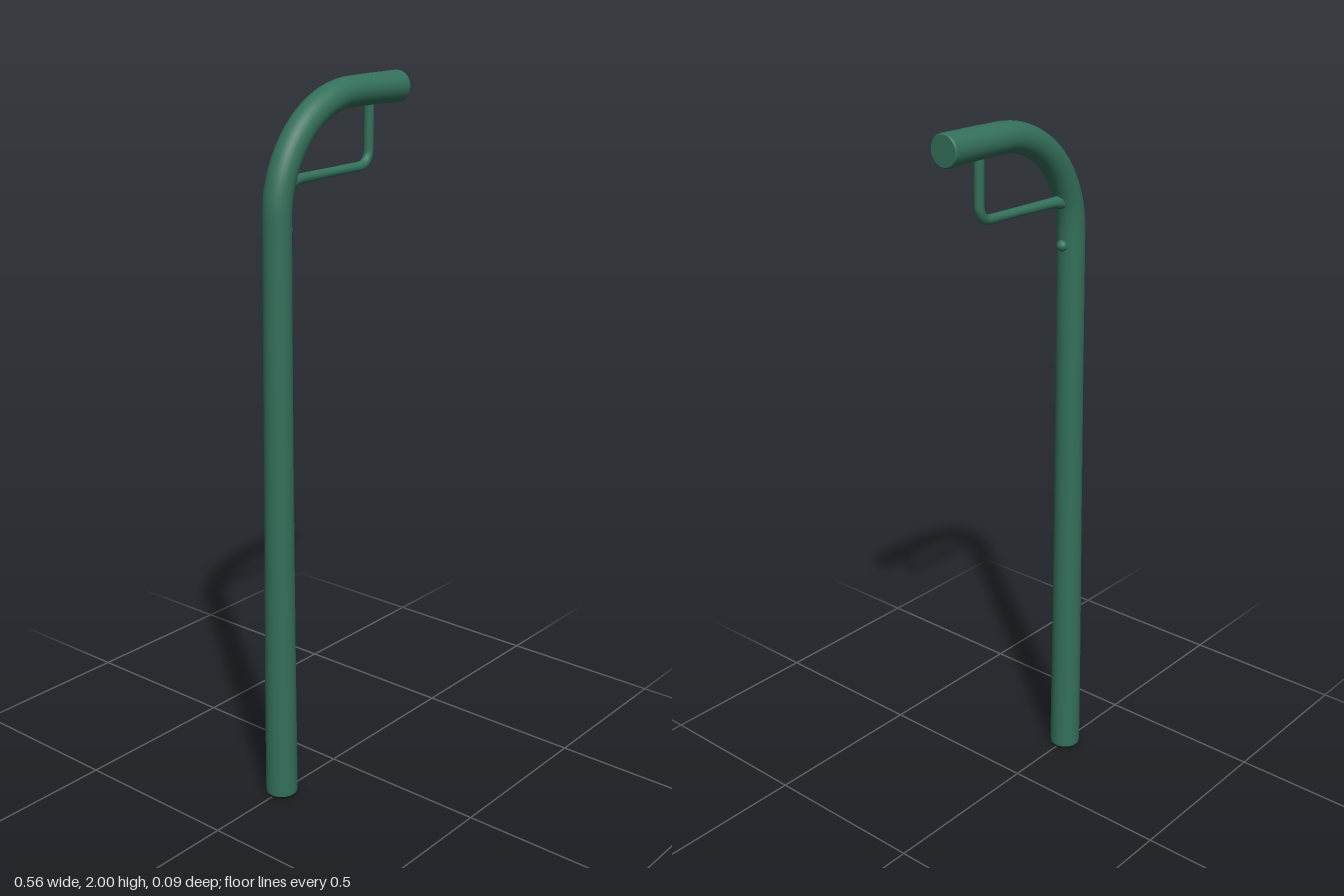
import * as THREE from 'three';

// Sweep round rings along stations [x, y, heading, radius] in the XY plane
function sweep(stations, sides) {
  const pos = [], index = [];
  stations.forEach(([x, y, a, r], i) => {
    for (let j = 0; j < sides; j++) {
      const t = (j / sides) * Math.PI * 2;
      pos.push(x - Math.sin(a) * r * Math.cos(t), y + Math.cos(a) * r * Math.cos(t), r * Math.sin(t));
      if (i === stations.length - 1) continue;
      const k = i * sides + j, l = i * sides + (j + 1) % sides;
      index.push(k, l, l + sides, k, l + sides, k + sides);
    }
  });
  const g = new THREE.BufferGeometry();
  g.setAttribute('position', new THREE.Float32BufferAttribute(pos, 3));
  g.setIndex(index);
  g.computeVertexNormals();
  return g;
}

// Quarter bend stations around (cx, cy), from heading a0 to a1
function bend(cx, cy, radius, a0, a1, steps, radiusAt) {
  const turn = Math.sign(a1 - a0);
  return Array.from({ length: steps + 1 }, (_, i) => {
    const t = i / steps, a = a0 + (a1 - a0) * t;
    return [cx + turn * Math.sin(a) * radius, cy - turn * Math.cos(a) * radius, a, radiusAt(t)];
  });
}

export function createModel() {
  const group = new THREE.Group();
  const green = new THREE.MeshStandardMaterial({ name: 'green paint', color: 0x34705b });
  const dark = new THREE.MeshStandardMaterial({ name: 'dark base', color: 0x111a17 });
  const add = (name, geometry, material = green) => {
    const mesh = new THREE.Mesh(geometry, material);
    mesh.name = name;
    group.add(mesh);
    return mesh;
  };
  const UP = Math.PI / 2;

  // Main pipe: tapered post, quarter bend, slightly flared outlet
  add('mainPipe', sweep([
    [-0.233, 0.006, UP, 0.0445],
    [-0.233, 0.02, UP, 0.0455],
    [-0.233, 0.4, UP, 0.0435],
    [-0.231, 0.8, UP, 0.041],
    [-0.229, 1.2, UP, 0.0395],
    [-0.227, 1.5, UP, 0.039],
    ...bend(0.075, 1.655, 0.301, UP, 0, 20, t => 0.039 + 0.002 * t),
    [0.16, 1.957, 0, 0.042],
    [0.27, 1.957, 0, 0.0435],
    [0.275, 1.957, 0, 0.0425],
    [0.277, 1.957, 0, 0.040],
  ], 28));
  add('outletCap', new THREE.CircleGeometry(0.04, 28).rotateY(UP)).position.set(0.277, 1.957, 0);

  // Dark foot edge and underside
  add('baseFoot', new THREE.CylinderGeometry(0.0445, 0.042, 0.006, 28), dark).position.set(-0.233, 0.003, 0);

  // Thin brace running out from the post and up into the arm
  add('brace', sweep([
    [-0.205, 1.742, 0.03, 0.022],
    [-0.175, 1.746, 0.05, 0.019],
    [-0.14, 1.75, 0.05, 0.0145],
    [0, 1.754, 0.02, 0.013],
    ...bend(0.108, 1.796, 0.04, 0, UP, 8, () => 0.0135),
    [0.148, 1.88, UP, 0.0135],
    [0.148, 1.945, UP, 0.0145],
  ], 14));

  // Small knob on the inner side of the post
  add('knob', new THREE.SphereGeometry(0.016, 14, 10)).position.set(-0.188, 1.624, 0);

  return group;
}
